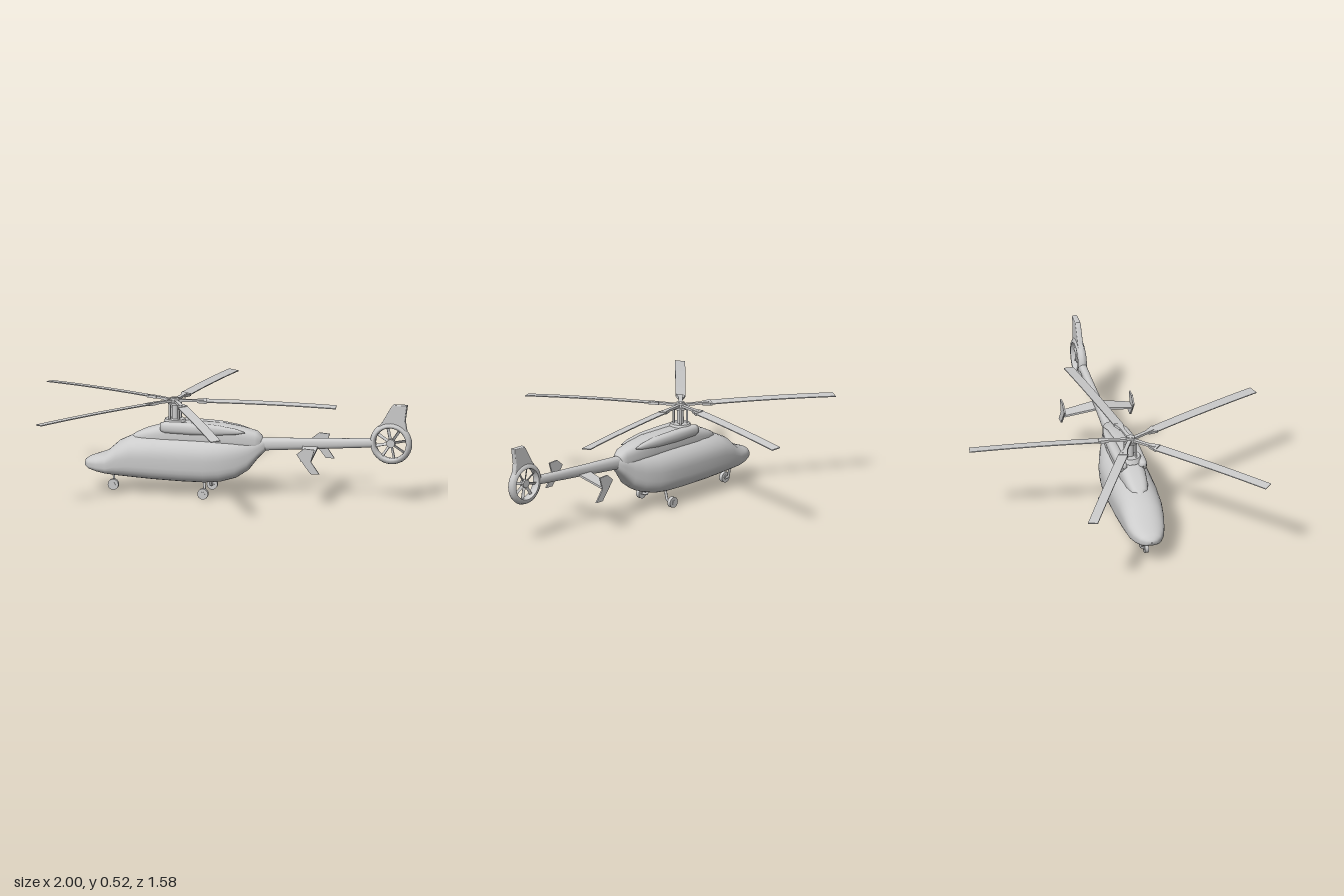
import * as THREE from 'three';

const grey = new THREE.MeshStandardMaterial({ color: 0xcccccc, side: THREE.DoubleSide });

function add(parent, name, geometry, x = 0, y = 0, z = 0) {
  const m = new THREE.Mesh(geometry, grey);
  m.name = name;
  m.position.set(x, y, z);
  parent.add(m);
  return m;
}

// Skin along x through rounded sections [x, bottom, top, halfWidth];
// mid is the height of the widest line, nLow / nHigh the squareness below / above it.
function loft(stations, mid = 0.5, nLow = 2, nHigh = 2, sides = 32) {
  const pos = [], idx = [], row = sides;
  const p = (v, n) => Math.sign(v) * Math.abs(v) ** (2 / n);
  for (const [x, yb, yt, hw] of stations) {
    const ym = yb + (yt - yb) * mid;
    for (let j = 0; j < sides; j++) {
      const t = (j / sides) * Math.PI * 2, s = Math.sin(t);
      const n = s < 0 ? nLow : nHigh;
      pos.push(x, ym + p(s, n) * (s < 0 ? ym - yb : yt - ym), hw * p(Math.cos(t), n));
    }
  }
  for (let i = 0; i < stations.length - 1; i++)
    for (let j = 0; j < sides; j++) {
      const k = (j + 1) % sides;
      const a = i * row + j, b = a + row, c = (i + 1) * row + k, d = i * row + k;
      idx.push(a, b, c, a, c, d);
    }
  const g = new THREE.BufferGeometry();
  g.setAttribute('position', new THREE.Float32BufferAttribute(pos, 3));
  g.setIndex(idx);
  g.computeVertexNormals();
  return g;
}

function plate(points, depth) {
  const s = new THREE.Shape(points.map(([x, y]) => new THREE.Vector2(x, y)));
  return new THREE.ExtrudeGeometry(s, { depth, bevelEnabled: false }).translate(0, 0, -depth / 2);
}

function tube(points, r) {
  const path = new THREE.CatmullRomCurve3(points.map((p) => new THREE.Vector3(...p)), false, 'catmullrom', 0.2);
  return new THREE.TubeGeometry(path, 12, r, 8);
}

function buildRotor() {
  const rotor = new THREE.Group();
  rotor.name = 'mainRotor';
  rotor.position.set(-0.25, 0.488, 0);
  add(rotor, 'rotorHub', new THREE.CylinderGeometry(0.022, 0.028, 0.03, 16));
  for (let i = 0; i < 5; i++) {
    const arm = new THREE.Group();
    arm.name = 'rotorArm';
    arm.rotation.y = -THREE.MathUtils.degToRad(-81 + 72 * i);
    rotor.add(arm);
    add(arm, 'bladeGrip', new THREE.BoxGeometry(0.15, 0.012, 0.02), 0.075, 0, 0);
    // cuff flares from the grip to the blade width
    const cuff = new THREE.BoxGeometry(0.05, 0.014, 0.05);
    const cp = cuff.attributes.position;
    for (let v = 0; v < cp.count; v++) if (cp.getX(v) < 0) cp.setZ(v, cp.getZ(v) * 0.5);
    cuff.computeVertexNormals();
    add(arm, 'bladeCuff', cuff, 0.14, -0.002, 0).rotation.x = 0.15;
    // blade droops towards its tip
    const blade = new THREE.BoxGeometry(0.675, 0.005, 0.052, 16, 1, 1).rotateX(0.1).translate(0.4925, 0, 0);
    const bp = blade.attributes.position;
    for (let v = 0; v < bp.count; v++) bp.setY(v, bp.getY(v) - 0.026 * (bp.getX(v) / 0.83) ** 2);
    blade.computeVertexNormals();
    add(arm, 'rotorBlade', blade);
  }
  return rotor;
}

function buildTailFan() {
  const fan = new THREE.Group();
  fan.name = 'tailFan';
  fan.position.set(0.887, 0.32, 0);
  const profile = [[0.083, -0.022], [0.094, -0.022], [0.106, -0.014], [0.111, 0], [0.106, 0.014],
    [0.094, 0.022], [0.083, 0.022], [0.08, 0], [0.083, -0.022]];
  add(fan, 'fanShroud', new THREE.LatheGeometry(profile.map(([r, y]) => new THREE.Vector2(r, y)), 32).rotateX(Math.PI / 2));
  add(fan, 'fanHub', new THREE.CylinderGeometry(0.022, 0.022, 0.026, 16).rotateX(Math.PI / 2));
  for (let i = 0; i < 8; i++) {
    const spoke = new THREE.Group();
    spoke.rotation.z = (i * Math.PI) / 4 + 0.2;
    spoke.name = 'fanSpoke';
    fan.add(spoke);
    add(spoke, 'fanBlade', new THREE.BoxGeometry(0.066, 0.015, 0.004), 0.05).rotation.x = 0.6;
  }
  return fan;
}

export function createModel() {
  const model = new THREE.Group();
  model.name = 'helicopter';
  const body = new THREE.Group();
  body.name = 'airframe';
  body.position.z = 0.034;
  model.add(body);

  add(body, 'fuselage', loft([
    [-0.72, 0.138, 0.142, 0.003], [-0.715, 0.122, 0.158, 0.03], [-0.695, 0.111, 0.172, 0.056],
    [-0.65, 0.1, 0.188, 0.08], [-0.6, 0.092, 0.207, 0.095], [-0.54, 0.087, 0.262, 0.106],
    [-0.47, 0.083, 0.296, 0.114], [-0.35, 0.077, 0.308, 0.12], [-0.2, 0.073, 0.31, 0.121],
    [-0.08, 0.073, 0.31, 0.118], [0, 0.08, 0.31, 0.108], [0.08, 0.103, 0.31, 0.086],
    [0.14, 0.143, 0.31, 0.063], [0.19, 0.208, 0.31, 0.044], [0.23, 0.25, 0.312, 0.028], [0.24, 0.28, 0.285, 0.002],
  ], 0.52, 3.4, 2.2));

  add(body, 'engineCowling', loft([
    [-0.48, 0.25, 0.292, 0.008], [-0.45, 0.25, 0.31, 0.042], [-0.4, 0.25, 0.335, 0.056],
    [-0.31, 0.25, 0.363, 0.066], [-0.2, 0.25, 0.382, 0.068], [0, 0.25, 0.38, 0.068],
    [0.1, 0.25, 0.366, 0.059], [0.18, 0.25, 0.348, 0.045], [0.205, 0.26, 0.328, 0.034], [0.22, 0.28, 0.3, 0.006],
  ], 0.4, 2.5, 3));

  // engine nacelles with blunt front ends
  for (const s of [-1, 1])
    add(body, s > 0 ? 'leftNacelle' : 'rightNacelle', loft([
      [-0.315, 0.352, 0.358, 0.003], [-0.312, 0.335, 0.38, 0.018], [-0.29, 0.326, 0.385, 0.026],
      [-0.15, 0.322, 0.385, 0.028], [-0.02, 0.325, 0.38, 0.026], [0.08, 0.335, 0.365, 0.014], [0.13, 0.345, 0.35, 0.002],
    ], 0.5, 2.4, 2.4, 20), 0, 0, s * 0.052);

  // rotor mast with control rods around it
  add(body, 'mastBase', new THREE.CylinderGeometry(0.05, 0.062, 0.025, 24), -0.248, 0.381, 0);
  add(body, 'rotorMast', new THREE.CylinderGeometry(0.016, 0.018, 0.13, 16), -0.248, 0.44, 0);
  for (let i = 0; i < 4; i++) {
    const a = (i * Math.PI) / 2 + Math.PI / 4;
    add(body, 'controlRod', new THREE.CylinderGeometry(0.006, 0.006, 0.095, 8),
      -0.248 + 0.034 * Math.cos(a), 0.432, 0.034 * Math.sin(a));
  }
  add(body, 'swashPlate', new THREE.CylinderGeometry(0.036, 0.036, 0.01, 20), -0.248, 0.474, 0);
  body.add(buildRotor());

  add(body, 'tailBoom', loft([[0.15, 0.235, 0.312, 0.034], [0.24, 0.25, 0.316, 0.028], [0.45, 0.266, 0.324, 0.022],
    [0.65, 0.282, 0.333, 0.02], [0.8, 0.294, 0.342, 0.02]], 0.5, 2.4, 2.4, 20));
  body.add(buildTailFan());

  // swept fin seated on the fan shroud
  const fin = new THREE.Shape();
  fin.moveTo(0.972, 0.386);
  fin.lineTo(0.963, 0.44);
  fin.lineTo(0.975, 0.525);
  fin.lineTo(0.9, 0.525);
  fin.lineTo(0.885, 0.505);
  fin.lineTo(0.842, 0.43);
  fin.lineTo(0.8, 0.38);
  fin.absarc(0.887, 0.32, 0.096, 2.45, 0.69, true);
  add(body, 'tailFin', new THREE.ExtrudeGeometry(fin, {
    depth: 0.012, bevelThickness: 0.008, bevelSize: 0.005, bevelOffset: -0.005, bevelSegments: 3, curveSegments: 12,
  }).translate(0, 0, -0.006));

  // stabilizer halves, drooping to cranked end plates
  for (const s of [-1, 1]) {
    const side = s > 0 ? 'left' : 'right';
    const half = new THREE.BoxGeometry(0.075, 0.011, 0.18);
    const hp = half.attributes.position;
    for (let v = 0; v < hp.count; v++) {
      const out = 0.5 + (s * hp.getZ(v)) / 0.18;
      hp.setXYZ(v, hp.getX(v) * (1.1 - 0.3 * out) + 0.012 * out, hp.getY(v) - 0.035 * out, hp.getZ(v));
    }
    half.computeVertexNormals();
    add(body, side + 'Stabilizer', half, 0.465, 0.284, s * 0.09);
    add(body, side + 'EndPlate', plate([[0.43, 0.28], [0.47, 0.312], [0.525, 0.308], [0.505, 0.245],
      [0.55, 0.18], [0.505, 0.18], [0.47, 0.225]], 0.008), 0, 0, s * 0.182);
  }

  // landing gear
  const wheel = (name, x, z) => {
    add(body, name, new THREE.CylinderGeometry(0.028, 0.028, 0.02, 24).rotateX(Math.PI / 2), x, 0.029, z);
    add(body, name + 'Hub', new THREE.CylinderGeometry(0.012, 0.012, 0.026, 12).rotateX(Math.PI / 2), x, 0.029, z);
  };
  wheel('noseWheel', -0.572, 0.003);
  add(body, 'noseStrut', tube([[-0.58, 0.1, -0.03], [-0.574, 0.045, -0.026], [-0.572, 0.03, -0.02], [-0.572, 0.029, 0]], 0.006));
  for (const s of [-1, 1]) {
    const side = s > 0 ? 'left' : 'right';
    wheel(side + 'MainWheel', -0.077, s * 0.113);
    add(body, side + 'MainStrut', tube([[-0.085, 0.1, s * 0.05], [-0.08, 0.055, s * 0.064],
      [-0.077, 0.032, s * 0.075], [-0.077, 0.029, s * 0.11]], 0.007));
  }
  return model;
}
